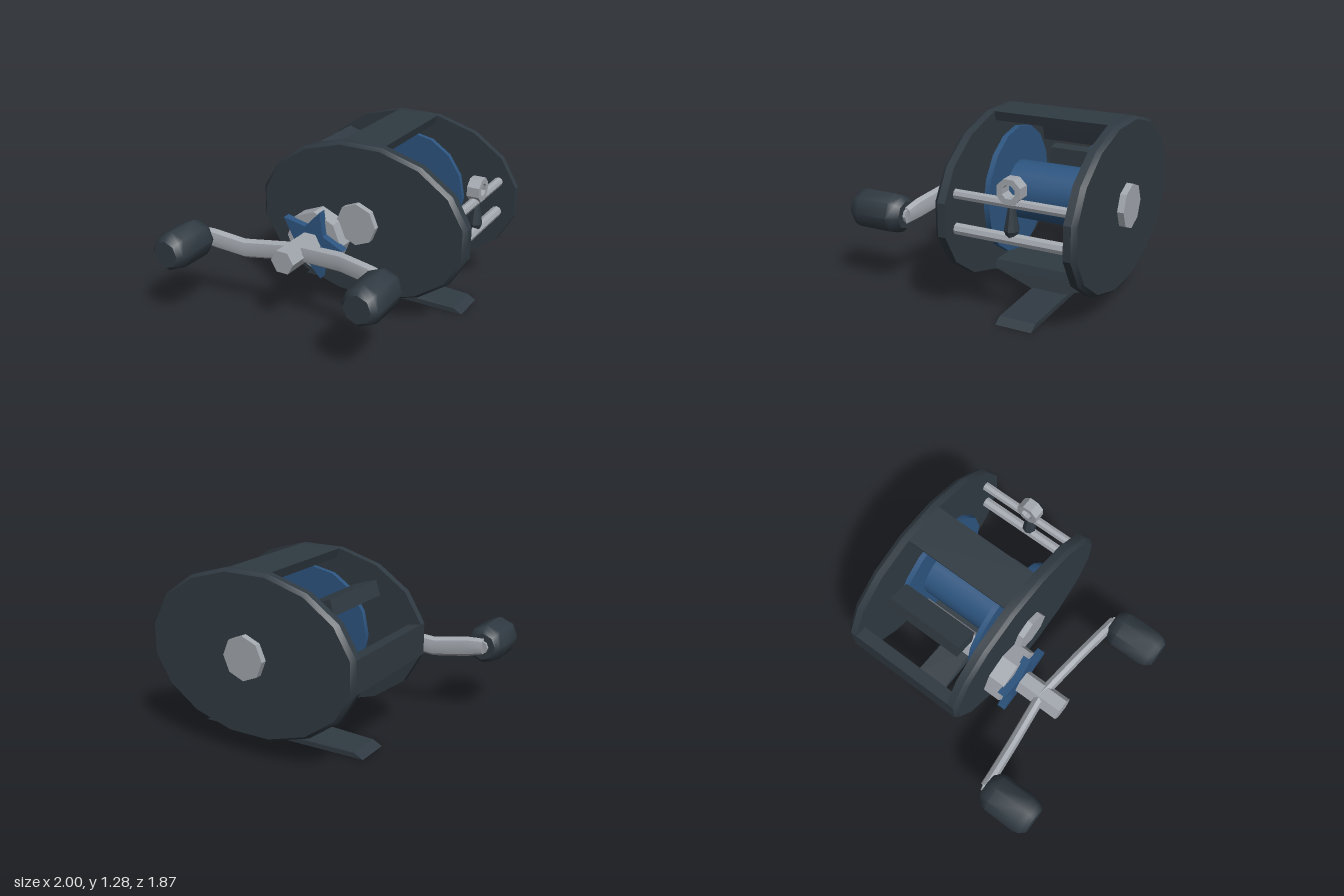
import * as THREE from 'three';
import { toCreasedNormals } from 'three/addons/utils/BufferGeometryUtils.js';

const mat = (name, color) => {
  const m = new THREE.MeshStandardMaterial({ color });
  m.name = name;
  return m;
};

// Turned part along z from [radius, z] points, z increasing
function turned(profile, sides, { turn = 0, sx = 1, crease = 0.6 } = {}) {
  const g = new THREE.LatheGeometry(profile.map(([r, z]) => new THREE.Vector2(r, z)), sides, turn);
  g.rotateX(Math.PI / 2);
  g.scale(sx, 1, 1);
  return toCreasedNormals(g, crease);
}

const rod = (r, z0, z1, sides, opts) => turned([[0, z0], [r, z0], [r, z1], [0, z1]], sides, opts);

// Skin over equal-sized rings of points, capped at both ends
function loft(rings, crease) {
  const n = rings[0].length, idx = [];
  for (let i = 0; i < rings.length - 1; i++) {
    for (let k = 0; k < n; k++) {
      const a = i * n + k, b = i * n + (k + 1) % n;
      idx.push(a, b, b + n, a, b + n, a + n);
    }
  }
  const last = (rings.length - 1) * n;
  for (let k = 1; k < n - 1; k++) idx.push(0, k + 1, k, last, last + k, last + k + 1);
  const g = new THREE.BufferGeometry();
  g.setAttribute('position', new THREE.Float32BufferAttribute(rings.flat(2), 3));
  g.setIndex(idx);
  return toCreasedNormals(g, crease);
}

const rect = (y, x0, x1, z0, z1) => [[x0, y, z1], [x1, y, z1], [x1, y, z0], [x0, y, z0]];

function extrude(points, z0, z1) {
  const shape = new THREE.Shape(points.map(([x, y]) => new THREE.Vector2(x, y)));
  const g = new THREE.ExtrudeGeometry(shape, { depth: z1 - z0, bevelEnabled: false });
  g.translate(0, 0, z0);
  return g;
}

export function createModel() {
  const dark = mat('dark slate', 0x303a42);
  const blue = mat('anodised blue', 0x2d5580);
  const silver = mat('silver', 0xa3a8af);
  const root = new THREE.Group();
  root.name = 'fishingReel';
  const add = (name, geo, material, x = 0, y = 0, z = 0) => {
    const m = new THREE.Mesh(geo, material);
    m.name = name;
    m.position.set(x, y, z);
    root.add(m);
    return m;
  };

  const CX = 0.19, CY = 0.717, RX = 0.826, RY = 0.579, STEP = Math.PI / 8;

  // Oval side plates with a bevelled outer rim
  const oval = { turn: STEP / 2, sx: RX / RY, crease: 0.5 };
  add('frontPlate', turned([[0, 0], [RY, 0], [RY, 0.055], [RY * 0.965, 0.085], [0, 0.085]], 16, oval), dark, CX, CY);
  add('rearPlate', turned([[0, -0.89], [RY * 0.965, -0.89], [RY, -0.86], [RY, -0.81], [0, -0.81]], 16, oval), dark, CX, CY);

  // Frame bars joining the plates: top, back and bottom facets of the oval
  [['topBar', 4], ['backBar', 8], ['bottomBar', 12]].forEach(([name, i]) => {
    const p = (k, s) => {
      const a = (k + 0.0) * STEP;
      return [RX * s * Math.cos(a), RY * s * Math.sin(a)];
    };
    add(name, extrude([p(i - 0.5, 0.885), p(i - 0.5, 1), p(i + 0.5, 1), p(i + 0.5, 0.885)], -0.81, 0), dark, CX, CY);
  });

  // Thumb rest
  const rest = add('thumbRest', new THREE.BoxGeometry(0.17, 0.11, 0.59), dark, -0.263, 1.053, -0.4);
  rest.rotation.z = -0.3;

  // Foot and its flared stem
  add('foot', loft([
    rect(0, -0.48, 0.855, -0.53, -0.27),
    rect(0.035, -0.41, 0.79, -0.53, -0.27),
    rect(0.07, 0.01, 0.37, -0.505, -0.295),
  ], 0.05), dark);
  add('footStem', loft([
    rect(0.065, 0.01, 0.37, -0.51, -0.29),
    rect(0.155, 0.03, 0.35, -0.81, 0),
  ], 0.05), dark);

  // Spool, axle and end caps
  add('spool', turned([
    [0, -0.735], [0.444, -0.735], [0.444, -0.697], [0.203, -0.697],
    [0.203, -0.108], [0.444, -0.108], [0.444, -0.07], [0, -0.07],
  ], 16), blue, CX, CY);
  add('spoolAxle', rod(0.06, -0.82, 0.01, 8), silver, CX, CY);
  add('frontCap', rod(0.155, 0.08, 0.13, 8), silver, CX, CY);
  add('rearCap', rod(0.155, -0.935, -0.885, 8), silver, CX, CY);

  // Crank shaft, gear housing and star drag
  const HX = -0.1, HY = 0.56;
  add('crankShaft', rod(0.09, -0.67, 0.62, 6, { turn: Math.PI / 6 }), silver, HX, HY);
  add('gearHousing', rod(0.222, 0.08, 0.215, 8), silver, HX, HY);
  const star = [];
  for (let i = 0; i < 10; i++) {
    const r = i % 2 ? 0.13 : 0.268, a = i * Math.PI / 5;
    star.push([r * Math.cos(a), r * Math.sin(a)]);
  }
  add('starDrag', extrude(star, 0.205, 0.268), blue, HX, HY);

  // Curved double handle arm
  const stations = [
    [-0.77, 0.005, 0.525, 0.06], [-0.65, -0.01, 0.512, 0.075], [-0.4, -0.042, 0.482, 0.073], [0, 0.01, 0.437, 0.071],
    [0.38, 0.042, 0.482, 0.075], [0.65, 0.015, 0.512, 0.075], [0.77, 0, 0.525, 0.06],
  ];
  add('handleArm', loft(stations.map(([x, y, z, h]) => {
    const ring = [];
    for (let k = 0; k < 8; k++) {
      const a = k * Math.PI / 4;
      ring.push([x, y + h * Math.cos(a), z + 0.04 * Math.sin(a)]);
    }
    return ring;
  }), 0.6), silver, HX, HY);

  // Knobs and their pins
  for (const s of [-1, 1]) {
    const side = s < 0 ? 'right' : 'left', x = HX + s * 0.757;
    add(side + 'KnobPin', rod(0.05, 0.51, 0.55, 8), silver, x, HY);
    add(side + 'Knob', turned([
      [0, 0.53], [0.1, 0.53], [0.128, 0.56], [0.143, 0.61], [0.143, 0.85], [0.13, 0.895], [0.1, 0.93], [0, 0.93],
    ], 8, { crease: 0.82 }), dark, x, HY);
  }

  // Line guide: two rails, carriage and eyelet
  add('upperRail', rod(0.034, -0.82, 0.01, 8), silver, 0.865, 0.86);
  add('lowerRail', rod(0.04, -0.82, 0.01, 8), silver, 0.865, 0.625);
  const carriage = toCreasedNormals(new THREE.CylinderGeometry(0.015, 0.052, 0.2, 8), 0.5);
  add('guideCarriage', carriage, dark, 0.865, 0.785, -0.4);
  const tip = toCreasedNormals(new THREE.CylinderGeometry(0.052, 0.03, 0.05, 8), 0.5);
  add('guideCarriageTip', tip, dark, 0.865, 0.66, -0.4);
  const eyelet = turned([
    [0.047, -0.045], [0.088, -0.045], [0.088, 0.045], [0.047, 0.045], [0.047, -0.045],
  ], 8, { turn: Math.PI / 8 });
  eyelet.rotateY(Math.PI / 2);
  add('lineEyelet', eyelet, silver, 0.865, 0.943, -0.4);

  return root;
}
